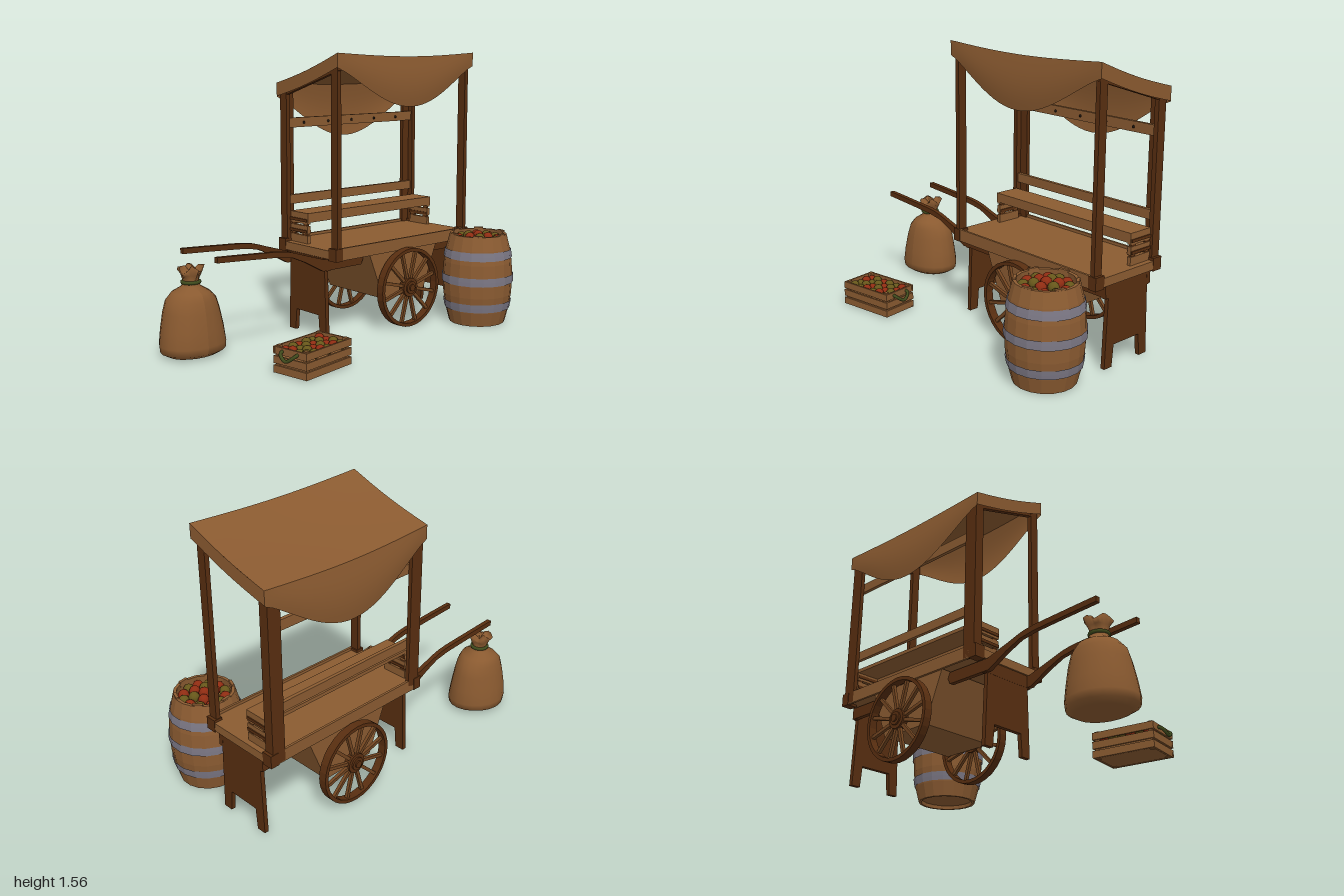
import * as THREE from 'three';

const mat = (name, color, side = THREE.FrontSide) => {
  const m = new THREE.MeshStandardMaterial({ color, side });
  m.name = name;
  return m;
};

export function createModel() {
  const wood = mat('light wood', 0x8a5b31);
  const dark = mat('dark wood', 0x582e10);
  const mid = mat('spoke wood', 0x724520);
  const cloth = mat('cloth', 0x8a5a30, THREE.DoubleSide);
  const barrelWood = mat('barrel wood', 0x8c5c32, THREE.DoubleSide);
  const metal = mat('metal', 0x7c7885, THREE.DoubleSide);
  const red = mat('red apple', 0x8f2c12);
  const olive = mat('olive apple', 0x66561a);
  const rope = mat('green rope', 0x3f4a1c);
  const nail = mat('nail', 0x1c140e);

  const model = new THREE.Group();
  const group = (name, parent = model) => {
    const g = new THREE.Group();
    g.name = name;
    parent.add(g);
    return g;
  };
  const add = (parent, name, geo, m, x = 0, y = 0, z = 0) => {
    const mesh = new THREE.Mesh(geo, m);
    mesh.name = name;
    mesh.position.set(x, y, z);
    parent.add(mesh);
    return mesh;
  };
  // box given by its limits on each axis
  const box = (parent, name, m, x0, x1, y0, y1, z0, z1) =>
    add(parent, name, new THREE.BoxGeometry(x1 - x0, y1 - y0, z1 - z0), m, (x0 + x1) / 2, (y0 + y1) / 2, (z0 + z1) / 2);
  const plate = (pts, depth) => new THREE.ExtrudeGeometry(
    new THREE.Shape(pts.map(p => new THREE.Vector2(...p))), { depth, bevelEnabled: false });
  const lathe = (pts, n) => new THREE.LatheGeometry(pts.map(p => new THREE.Vector2(...p)), n);
  const flat = geo => {
    const g = geo.toNonIndexed();
    g.computeVertexNormals();
    return g;
  };
  const apple = new THREE.SphereGeometry(0.03, 10, 8);

  // ---- cart: table, aprons and hanging box
  const cart = group('cart');
  box(cart, 'tableTop', wood, -0.125, 0.925, 0.455, 0.497, -0.405, 0.065);
  for (const z of [-0.415, 0.062]) box(cart, 'apron', wood, -0.1, 0.9, 0.445, 0.513, z, z + 0.013);
  for (const x of [-0.13, 0.91]) box(cart, 'endBoard', wood, x, x + 0.02, 0.45, 0.497, -0.4, 0.06);
  add(cart, 'hangingBox', plate([[0.24, 0.178], [0.56, 0.178], [0.67, 0.45], [0.13, 0.45]], 0.46), wood, 0, 0, -0.4);

  // shafts with curved handles, and short beams at the other end
  const upper = new THREE.CatmullRomCurve3([[-0.84, 0.556], [-0.62, 0.543], [-0.4, 0.525], [-0.28, 0.49], [-0.14, 0.447]]
    .map(p => new THREE.Vector3(p[0], p[1], 0))).getPoints(16).map(p => [p.x, p.y]);
  const lower = [[-0.15, 0.383], [-0.27, 0.448], [-0.36, 0.487], [-0.45, 0.502], [-0.64, 0.515], [-0.84, 0.527]];
  const shaft = plate([...upper, [0.16, 0.447], [0.13, 0.383], ...lower], 0.026);
  for (const z of [-0.343, -0.033]) {
    add(cart, 'shaft', shaft, dark, 0, 0, z);
    box(cart, 'rearBeam', dark, 0.66, 0.925, 0.383, 0.447, z, z + 0.026);
  }
  for (const x of [-0.125, 0.9]) box(cart, 'crossBeam', dark, x, x + 0.024, 0.38, 0.447, -0.335, -0.005);

  // splayed trestle legs
  const leg = plate([[-0.335, 0], [-0.28, 0], [-0.27, 0.12], [-0.08, 0.12], [-0.07, 0], [-0.015, 0], [-0.028, 0.39], [-0.322, 0.39]], 0.024);
  for (const x of [-0.1, 0.924]) add(cart, 'trestleLeg', leg, dark, x, 0, 0).rotation.y = -Math.PI / 2;

  // corner posts (front plain, back L-shaped), brackets and sloping roof beams
  for (const s of [-1, 1]) {
    const span = (a, b) => [0.4 + s * a, 0.4 + s * b].sort((p, q) => p - q);
    box(cart, 'frontPost', dark, ...span(0.49, 0.516), 0.45, 1.49, 0.02, 0.072);
    box(cart, 'backPost', dark, ...span(0.49, 0.516), 0.45, 1.345, -0.415, -0.36);
    box(cart, 'backPostFlange', dark, ...span(0.44, 0.49), 0.45, 1.345, -0.415, -0.392);
    for (const z of [-0.418, 0.016]) box(cart, 'cornerBracket', dark, ...span(0.482, 0.532), 0.442, 0.512, z, z + 0.062);
    const beam = plate([[-0.415, 1.31], [0.075, 1.465], [0.075, 1.53], [-0.415, 1.375]], 0.024);
    add(cart, 'roofBeam', beam, dark, 0.412 + s * 0.502, 0, 0).rotation.y = -Math.PI / 2;
  }

  // back rails with nails
  for (const [y0, y1] of [[1.14, 1.195], [0.705, 0.757]]) {
    box(cart, 'backRail', wood, -0.09, 0.895, y0, y1, -0.392, -0.372);
    for (let i = 0; i < 5 && y0 > 1; i++)
      add(cart, 'nail', new THREE.SphereGeometry(0.008, 6, 4), nail, 0.02 + i * 0.183, 1.166, -0.371);
  }

  // shelf standing on the table
  const shelf = group('shelf', cart);
  box(shelf, 'shelfTop', wood, -0.09, 0.9, 0.65, 0.67, -0.36, -0.21);
  box(shelf, 'shelfFront', wood, -0.09, 0.9, 0.617, 0.67, -0.222, -0.208);
  for (const x of [-0.09, 0.878]) {
    for (let i = 0; i < 3; i++) box(shelf, 'shelfEndSlat', wood, x, x + 0.022, 0.497 + i * 0.055, 0.542 + i * 0.055, -0.36, -0.212);
    box(shelf, 'shelfUpright', dark, x + 0.003, x + 0.019, 0.497, 0.65, -0.355, -0.325);
    box(shelf, 'shelfUpright', dark, x + 0.003, x + 0.019, 0.497, 0.65, -0.25, -0.22);
    for (const y of [0.565, 0.628]) box(shelf, 'shelfBrace', dark, x - 0.006, x + 0.028, y - 0.008, y + 0.008, -0.36, -0.215);
  }

  // spoked wheels
  const ring = new THREE.Shape().absarc(0, 0, 0.228, 0, Math.PI * 2);
  ring.holes.push(new THREE.Path().absarc(0, 0, 0.208, 0, Math.PI * 2, true));
  const rim = new THREE.ExtrudeGeometry(ring, { depth: 0.046, bevelEnabled: false, curveSegments: 16 });
  for (const z of [0.1, -0.445]) {
    const wheel = group('wheel', cart);
    wheel.position.set(0.4, 0.229, z);
    add(wheel, 'rim', rim, dark, 0, 0, -0.023);
    for (const [r, d] of [[0.055, 0.038], [0.036, 0.056], [0.02, 0.072]])
      add(wheel, 'hub', new THREE.CylinderGeometry(r, r, d, 16), dark).rotation.x = Math.PI / 2;
    for (let i = 0; i < 12; i++) {
      const a = (i + 0.5) * Math.PI / 6;
      add(wheel, 'spoke', new THREE.BoxGeometry(0.175, 0.018, 0.018), mid, Math.cos(a) * 0.126, Math.sin(a) * 0.126, 0).rotation.z = a;
    }
  }
  add(cart, 'axle', new THREE.CylinderGeometry(0.02, 0.02, 0.52, 12), dark, 0.4, 0.229, -0.172).rotation.x = Math.PI / 2;

  // ---- sagging canopy: each sheet is a grid moved by a rule of (u, v)
  const canopy = group('canopy');
  const sheet = (name, rule) => {
    const geo = new THREE.PlaneGeometry(1, 1, 24, 8);
    const p = geo.attributes.position;
    for (let i = 0; i < p.count; i++) p.setXYZ(i, ...rule(p.getX(i) + 0.5, p.getY(i) + 0.5));
    geo.computeVertexNormals();
    add(canopy, name, geo, cloth);
  };
  const X = u => -0.132 + 1.068 * u;
  const bow = u => Math.sin(Math.PI * u);
  const roofY = (u, v) => 1.392 + 0.166 * v - 0.02 * bow(u) - 0.012 * bow(v);
  const roofZ = (u, v) => -0.425 + 0.515 * v + (v - 0.5) * 0.016 * bow(u);
  sheet('roofCloth', (u, v) => [X(u), roofY(u, v), roofZ(u, v)]);
  for (const [name, v0, drop, s] of [['frontValance', 1, 0.2, 1], ['backValance', 0, 0.225, -1]])
    sheet(name, (u, v) => {
      const t = 1 - v, hang = 0.078 + drop * Math.pow(bow(u), 1.25);
      return [X(u), roofY(u, v0) - hang * t, roofZ(u, v0) + s * 0.022 * bow(u) * Math.sin(t * 2.6)];
    });
  for (const u0 of [0, 1])
    sheet('sideHem', (u, v) => [X(u0), roofY(u0, u) - 0.075 * (1 - v), roofZ(u0, u)]);

  // ---- barrel of apples
  const barrel = group('barrel');
  barrel.position.set(0.795, 0, 0.277);
  const bulge = y => 0.162 + 0.04 * (1 - ((y - 0.262) / 0.262) ** 2);
  const heights = [0, 0.08, 0.17, 0.262, 0.36, 0.44, 0.52];
  add(barrel, 'staves', flat(lathe([[0, 0.02], [0.145, 0.02], [0.148, 0], ...heights.map(y => [bulge(y), y]),
    [0.146, 0.52], [0.155, 0.45], [0, 0.45]], 18)), barrelWood);
  for (let i = 0; i < 18; i += 3) {
    const a = (i + 0.5) * Math.PI / 9;
    add(barrel, 'raisedStave', new THREE.BoxGeometry(0.054, 0.03, 0.016), barrelWood, Math.sin(a) * 0.152, 0.513, Math.cos(a) * 0.152).rotation.y = a;
  }
  for (const y of [0.11, 0.265, 0.41])
    add(barrel, 'hoop', flat(lathe([-0.024, 0, 0.024].map(d => [bulge(y + d) + 0.005, y + d]), 18)), metal);
  for (const [n, r, y] of [[1, 0, 0.505], [6, 0.06, 0.498], [12, 0.112, 0.485]])
    for (let i = 0; i < n; i++) {
      const a = i * Math.PI * 2 / n + r * 3;
      add(barrel, 'apple', apple, (i + n) % 2 ? red : olive, Math.cos(a) * r, y, Math.sin(a) * r);
    }

  // ---- tied sack
  const sack = group('sack');
  sack.position.set(-0.812, 0, -0.293);
  const body = lathe([[0, 0], [0.14, 0.002], [0.178, 0.022], [0.183, 0.06], [0.172, 0.14], [0.155, 0.23], [0.138, 0.29],
    [0.1, 0.33], [0.05, 0.36], [0.042, 0.39], [0.05, 0.42], [0.066, 0.452], [0.035, 0.455], [0, 0.43]], 20);
  const bp = body.attributes.position;
  for (let i = 0; i < bp.count; i++) {
    const x = bp.getX(i), y = bp.getY(i), z = bp.getZ(i), a = Math.atan2(z, x);
    const k = 1 + (y > 0.4 ? 0.14 * Math.sin(5 * a) : 0.025 * Math.sin(3 * a + y * 9));
    bp.setXYZ(i, x * k, y + (y > 0.44 ? 0.016 * Math.sin(4 * a) : 0), z * k * (y < 0.33 ? 0.86 : 1));
  }
  body.computeVertexNormals();
  add(sack, 'sackBody', body, cloth);
  add(sack, 'sackTie', new THREE.TorusGeometry(0.045, 0.01, 8, 18), rope, 0, 0.382, 0).rotation.x = Math.PI / 2;

  // ---- slatted crate of apples
  const crate = group('crate');
  crate.position.set(-0.512, 0, 0.333);
  crate.rotation.y = 0.16;
  box(crate, 'crateCore', wood, -0.158, 0.158, 0.004, 0.085, -0.094, 0.094);
  for (const s of [-1, 1]) {
    for (let i = 0; i < 3; i++) {
      const y = 0.022 + i * 0.048;
      add(crate, 'sideSlat', new THREE.BoxGeometry(0.345, 0.038, 0.01), wood, 0, y, s * 0.103);
      add(crate, 'endSlat', new THREE.BoxGeometry(0.01, 0.038, 0.2), wood, s * 0.166, y, 0);
    }
    for (const t of [-1, 1]) box(crate, 'cornerBlock', wood, s * 0.15 - 0.011, s * 0.15 + 0.011, 0, 0.143, t * 0.088 - 0.011, t * 0.088 + 0.011);
    const loop = new THREE.CatmullRomCurve3([[0.168, 0.12, -0.05], [0.19, 0.112, -0.045], [0.203, 0.085, 0], [0.19, 0.112, 0.045], [0.168, 0.12, 0.05]]
      .map(([x, y, z]) => new THREE.Vector3(x * s, y, z)));
    add(crate, 'ropeHandle', new THREE.TubeGeometry(loop, 16, 0.009, 8), rope);
  }
  for (let i = 0; i < 6; i++)
    for (let j = 0; j < 4; j++) {
      const a = add(crate, 'apple', apple, (i * 3 + j * j) % 5 < 2 ? red : olive,
        -0.125 + i * 0.05, 0.108 + 0.008 * ((i + j) % 2), -0.069 + j * 0.046 + 0.004 * (i % 2));
      a.scale.setScalar(0.88);
    }

  return model;
}
